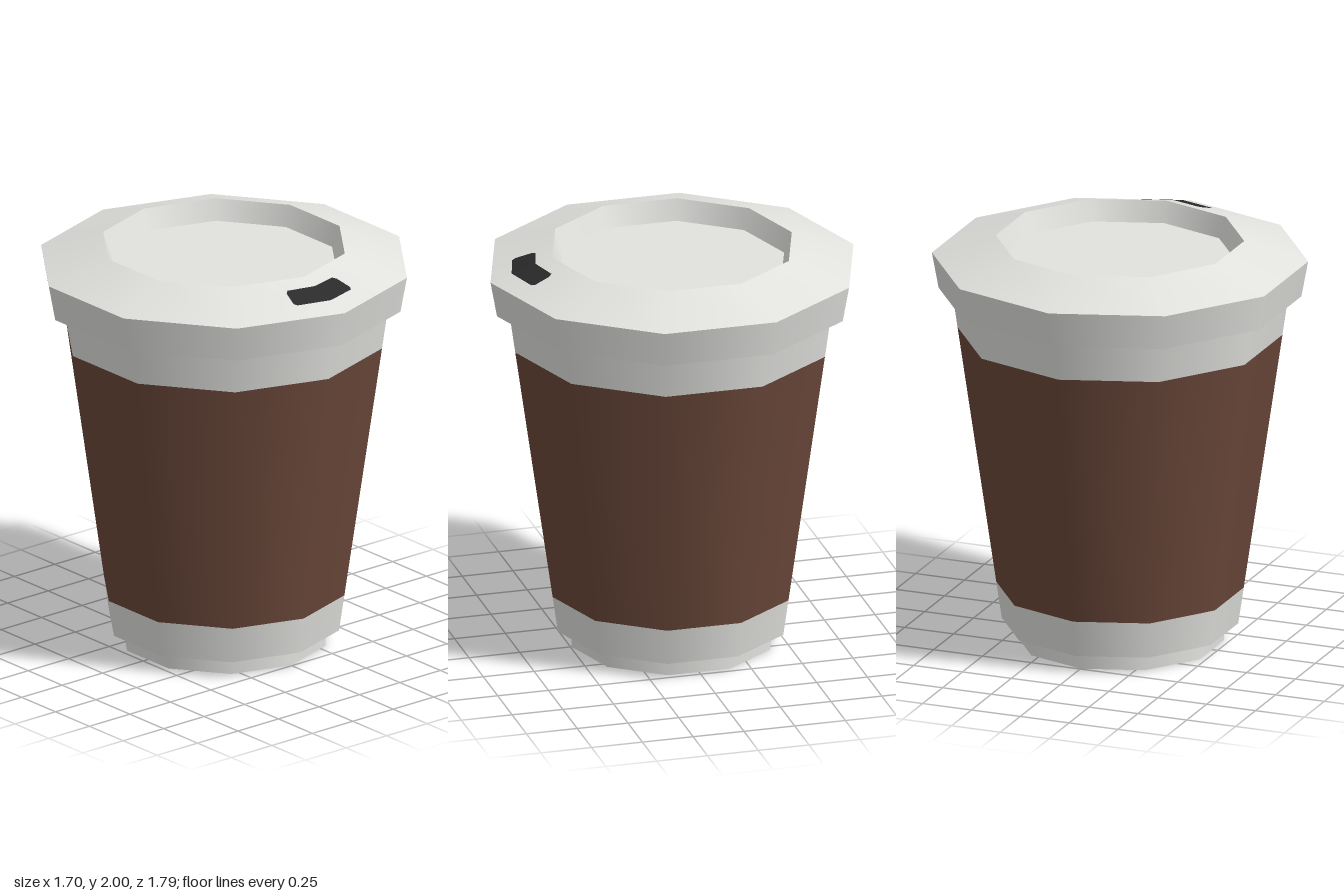
import * as THREE from 'three';
import { mergeGeometries } from 'three/addons/utils/BufferGeometryUtils.js';

const SIDES = 10;
const RIM = [0.894, 1.905], TOP = [0.59, 2.0];

// Ten-sided turned form: smooth around, sharp at every profile point
function turned(profile) {
  const bands = [];
  for (let i = 0; i < profile.length - 1; i++) {
    const pair = [profile[i], profile[i + 1]].map(([r, y]) => new THREE.Vector2(r, y));
    bands.push(new THREE.LatheGeometry(pair, SIDES));
  }
  return mergeGeometries(bands);
}

// Height of the sloping lid above a point near its front corner
function lidHeight(x, z) {
  const a = Math.PI / SIDES;
  const r = (Math.abs(x) * Math.sin(a) + z * Math.cos(a)) / Math.cos(a);
  return RIM[1] + (TOP[1] - RIM[1]) * (RIM[0] - r) / (RIM[0] - TOP[0]);
}

// Sip hole: two mirrored halves folded over the lid's front corner
function sipHole(material) {
  const group = new THREE.Group();
  group.name = 'sipHole';
  for (const s of [1, -1]) {
    const half = [[0, 0.79], [0.165, 0.74], [0.175, 0.722], [0.155, 0.648], [0.138, 0.633], [0, 0.672]];
    const shape = new THREE.Shape(half.map(([x, z]) => new THREE.Vector2(s * x, -z)));
    const geo = new THREE.ShapeGeometry(shape).rotateX(-Math.PI / 2);
    const p = geo.attributes.position;
    for (let i = 0; i < p.count; i++) p.setY(i, lidHeight(p.getX(i), p.getZ(i)) + 0.003);
    geo.computeVertexNormals();
    const mesh = new THREE.Mesh(geo, material);
    mesh.name = s > 0 ? 'sipHoleLeft' : 'sipHoleRight';
    group.add(mesh);
  }
  return group;
}

export function createModel() {
  const white = new THREE.MeshStandardMaterial({ color: 0xe2e2df });
  white.name = 'paperWhite';
  const brown = new THREE.MeshStandardMaterial({ color: 0x6b483a });
  brown.name = 'sleeveBrown';
  const black = new THREE.MeshStandardMaterial({ color: 0x2a2a2a, side: THREE.DoubleSide });
  black.name = 'holeBlack';

  const cup = new THREE.Group();
  cup.name = 'takeawayCup';
  const add = (name, profile, material) => {
    const mesh = new THREE.Mesh(turned(profile), material);
    mesh.name = name;
    cup.add(mesh);
  };

  // Foot and lower cup wall
  add('cupBase', [[0, 0], [0.495, 0], [0.495, 0.085], [0.562, 0.085], [0.588, 0.265]], white);
  // Coloured band flush with the wall
  add('sleeve', [[0.588, 0.265], [0.772, 1.535]], brown);
  // Upper cup wall
  add('cupTop', [[0.772, 1.535], [0.8, 1.73]], white);
  // Lid: underside, skirt, slope, recess wall and floor
  add('lid', [[0.8, 1.73], [0.862, 1.73], RIM, TOP, [0.552, 1.9], [0, 1.9]], white);
  cup.add(sipHole(black));
  return cup;
}
